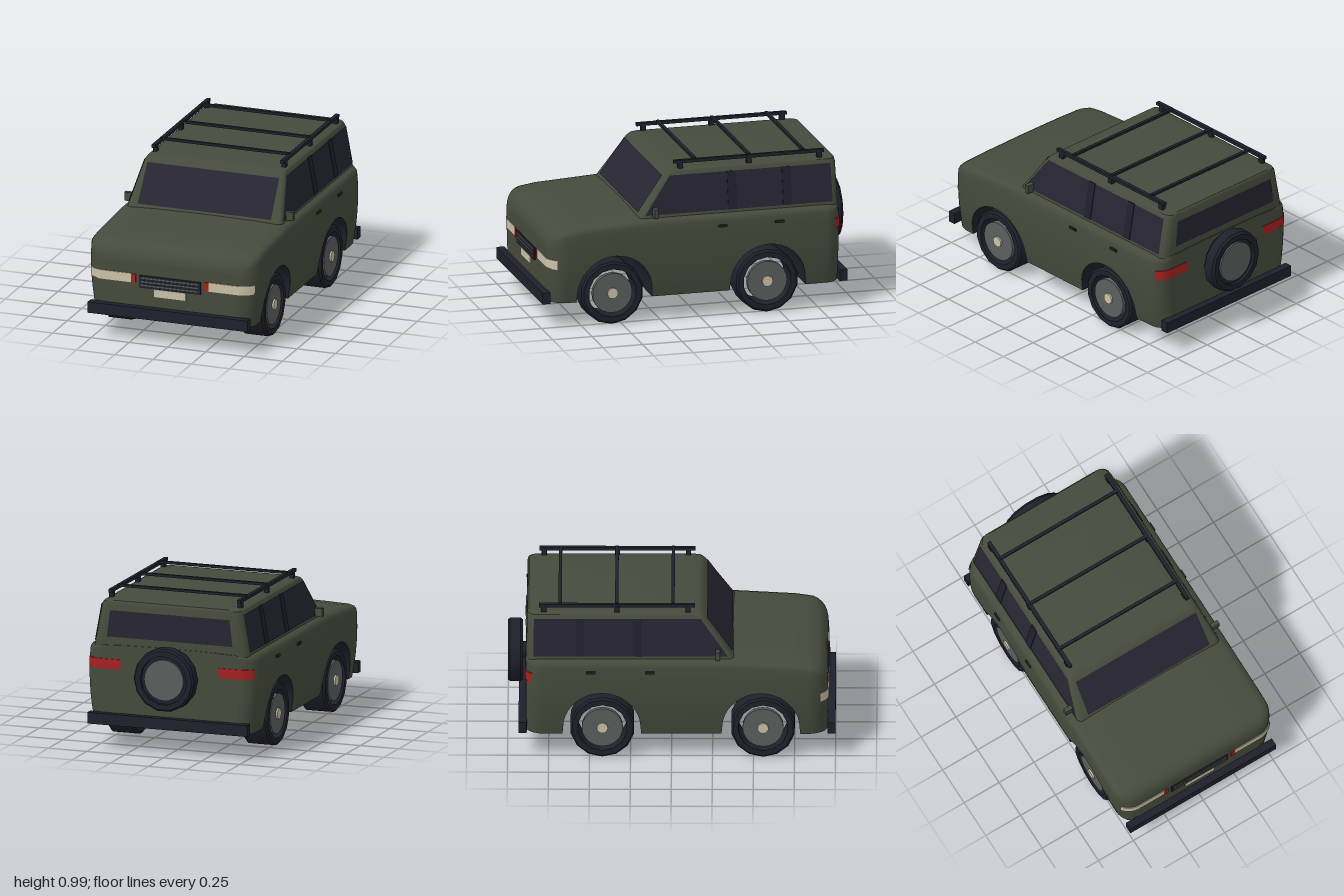
import * as THREE from 'three';
import { toCreasedNormals } from 'three/addons/utils/BufferGeometryUtils.js';

const mat = (name, color, side = THREE.FrontSide) => {
  const m = new THREE.MeshStandardMaterial({ color, side });
  m.name = name;
  return m;
};

export function createModel() {
  const paint = mat('olive paint', 0x454b3c);
  const trim = mat('dark trim', 0x20202c);
  const glass = mat('tinted glass', 0x262532, THREE.DoubleSide);
  const cream = mat('cream', 0xccc2a8);
  const red = mat('red lamp', 0xa82020);
  const grey = mat('wheel grey', 0x5a5f5e);

  const car = new THREE.Group();
  car.name = 'offRoadCar';
  const add = (name, geo, material, x = 0, y = 0, z = 0, parent = car) => {
    const m = new THREE.Mesh(geo, material);
    m.name = name;
    m.position.set(x, y, z);
    parent.add(m);
    return m;
  };
  const box = (name, material, w, h, d, x, y, z) =>
    add(name, new THREE.BoxGeometry(w, h, d), material, x, y, z);

  // Surface through rows of points; faces look along (row step) x (point step)
  const grid = (rows, crease = 0.6) => {
    const n = rows[0].length, idx = [];
    for (let i = 0; i < rows.length - 1; i++)
      for (let j = 0; j < n - 1; j++) {
        const a = i * n + j, c = a + n;
        idx.push(a, c, a + 1, a + 1, c, c + 1);
      }
    const g = new THREE.BufferGeometry();
    g.setAttribute('position', new THREE.Float32BufferAttribute(rows.flat(2), 3));
    g.setIndex(idx);
    return toCreasedNormals(g, crease);
  };

  // ---- Lower body: sections along z, with the bottom edge following the wheel arches
  const FRONT = 0.955, REAR = -0.89, RF = 0.12, RR = 0.1;
  const halfWidth = y => 0.555 - 0.33 * (y - 0.47) ** 2;
  const topLine = [[0.955, 0.5], [0.95, 0.535], [0.935, 0.565], [0.91, 0.59], [0.87, 0.61], [0.75, 0.628], [0.36, 0.65], [-1, 0.65]];
  const topY = z => {
    const k = Math.max(1, topLine.findIndex(p => p[0] <= z));
    const [a, b] = [topLine[k - 1], topLine[k]];
    return THREE.MathUtils.mapLinear(z, a[0], b[0], a[1], b[1]);
  };
  const round = (r, d) => (d >= r ? 0 : r - Math.sqrt(r * r - (r - d) ** 2));
  const inset = z => round(RF, FRONT - z) + round(RR, z - REAR);

  const stations = [];
  const SILL = 0.152;
  for (const d of [0, 0.003, 0.01, 0.022, 0.04, 0.065, 0.095, 0.12]) stations.push([FRONT - d, SILL]);
  for (const c of [0.545, -0.425]) {
    stations.push([c + 0.24, SILL]);
    for (let k = 0; k <= 18; k++) {
      const a = (k / 18) * Math.PI;
      stations.push([c + 0.236 * Math.cos(a), 0.2 + 0.235 * Math.sin(a)]);
    }
    stations.push([c - 0.24, SILL]);
  }
  for (const d of [0.1, 0.08, 0.055, 0.035, 0.018, 0.008, 0.002, 0]) stations.push([REAR + d, SILL]);

  const shell = [], under = [];
  for (const [z, yb] of stations) {
    const yt = topY(z), ys = yt - 0.045, ins = inset(z), half = [];
    for (let k = 0; k <= 8; k++) {
      const y = yb + (ys - yb) * k / 8;
      half.push([halfWidth(y) - ins, y, z]);
    }
    const w = halfWidth(ys) - ins;
    half.push([w - 0.004, yt - 0.028, z], [w - 0.016, yt - 0.014, z], [w - 0.05, yt - 0.004, z],
      [w * 0.6, yt + 0.002, z], [0.001, yt + 0.005, z]);
    const mirror = half.map(([x, y, q]) => [-x, y, q]).reverse();
    shell.push([...half, ...mirror]);
    under.push([[-half[0][0], yb, z], [half[0][0], yb, z]]);
  }
  add('bodyShell', grid(shell, 0.8), paint);
  add('underbody', grid(under), trim);
  const cap = (section, flip) => {
    const n = section.length;
    return grid(section.slice(0, n / 2).map((p, i) => flip ? [section[n - 1 - i], p] : [p, section[n - 1 - i]]));
  };
  add('nosePanel', cap(shell[0], false), paint);
  add('tailPanel', cap(shell[shell.length - 1], true), paint);

  // ---- Cabin: rounded rectangles stacked in y  [y, front z, rear z, half width]
  const ring = ([y, zf, zb, w]) => {
    const pts = [];
    const corners = [[1, 1, 0.03], [-1, 1, 0.03], [-1, -1, 0.055], [1, -1, 0.055]];
    corners.forEach(([sx, sz, r], q) => {
      for (let k = 0; k <= 5; k++) {
        const a = (q + k / 5) * Math.PI / 2;
        pts.push([sx * (w - r) + r * Math.cos(a), y, (sz > 0 ? zf - r : zb + r) + r * Math.sin(a)]);
      }
    });
    return [...pts, pts[0]];
  };
  const layers = [[0.62, 0.398, -0.886, 0.51], [0.66, 0.37, -0.886, 0.503], [0.895, 0.205, -0.882, 0.46],
    [0.915, 0.185, -0.878, 0.449], [0.924, 0.165, -0.87, 0.432], [0.928, 0.12, -0.84, 0.38]].map(ring);
  layers.push(layers[0].map(() => [0, 0.932, -0.36]));
  add('cabin', grid(layers, 0.5), paint);

  // ---- Windows and pillars as thin faces
  const face = (name, pts, material) => add(name, grid([[pts[0], pts[1]], [pts[3], pts[2]]]), material);
  const wz = y => 0.37 - (y - 0.66) * 0.702 + 0.004;
  face('windscreen', [[-0.435, 0.668, wz(0.664)], [-0.43, 0.888, wz(0.884)], [0.43, 0.888, wz(0.884)], [0.435, 0.668, wz(0.664)]], glass);
  face('rearWindow', [[-0.41, 0.7, -0.891], [0.41, 0.7, -0.891], [0.39, 0.865, -0.889], [-0.39, 0.865, -0.889]], glass);
  const sideX = y => 0.503 - (y - 0.66) * 0.183;
  for (const s of [1, -1]) {
    const side = (name, z0, z1, z2, z3, off, m) => {
      const lo = 0.661, hi = 0.893;
      face(name, [[s * (sideX(lo) + off), lo, z0], [s * (sideX(lo) + off), lo, z1],
        [s * (sideX(hi) + off), hi, z2], [s * (sideX(hi) + off), hi, z3]], m);
    };
    side('sideWindow', 0.345, -0.842, -0.84, 0.178, 0.004, glass);
    for (const z of [-0.21, -0.557]) {
      const p = box('windowPillar', trim, 0.008, 0.236, 0.055, s * (sideX(0.777) + 0.004), 0.777, z);
      p.rotation.z = s * Math.atan(0.183);
    }
    box('mirror', paint, 0.065, 0.054, 0.028, s * 0.518, 0.678, 0.283);
    for (const z of [-0.133, -0.493]) box('doorHandle', trim, 0.016, 0.015, 0.056, s * 0.553, 0.574, z);
  }

  // ---- Lamps wrapping round the body corners
  const wrapLamp = (name, material, s, end, x0, y0, y1, r, arc) => {
    const cx = halfWidth((y0 + y1) / 2) - r, dir = Math.sign(end), cz = end - dir * r, rows = [];
    const outline = [[x0, end + dir * 0.005]];
    for (let k = 0; k <= 8; k++) {
      const a = arc * k / 8;
      outline.push([cx + (r + 0.005) * Math.sin(a), cz + dir * (r + 0.005) * Math.cos(a)]);
    }
    for (const y of [y0, y1]) rows.push(outline.map(([x, z]) => [s * x, y, z]));
    if (s * dir > 0) rows.reverse();
    // closing strips back to the body along the top and bottom edges
    const back = row => row.map(([x, y, z]) => [x - s * 0.003, y, z - dir * 0.007]);
    add(name, grid([back(rows[0]), rows[0], rows[1], back(rows[1])]), material);
  };
  for (const s of [1, -1]) {
    wrapLamp('headlight', cream, s, FRONT, 0.253, 0.37, 0.427, RF, 0.95);
    wrapLamp('tailLight', red, s, REAR, 0.32, 0.5, 0.56, RR, 0.95);
    box('indicator', red, 0.027, 0.057, 0.01, s * 0.238, 0.398, FRONT + 0.002);
  }

  // ---- Grille, number plate, bumpers
  box('grille', trim, 0.404, 0.08, 0.012, 0, 0.383, FRONT + 0.002);
  for (const y of [0.408, 0.385, 0.362]) box('grilleSlat', grey, 0.376, 0.008, 0.006, 0, y, FRONT + 0.009);
  box('numberPlate', cream, 0.206, 0.048, 0.01, 0, 0.318, FRONT + 0.003);
  box('frontBumper', trim, 1.044, 0.07, 0.05, 0, 0.19, 0.975);
  box('rearBumper', trim, 1.044, 0.07, 0.05, 0, 0.19, -0.908);

  // ---- Wheels: hollow tyre ring, rim disc and hub, axis along local y
  const tyre = width => {
    const h = width / 2;
    const profile = [[0.152, -h], [0.186, -h], [0.198, -h + 0.014], [0.198, h - 0.014], [0.186, h], [0.152, h], [0.152, -h]];
    const g = new THREE.LatheGeometry(profile.map(p => new THREE.Vector2(...p)), 14, Math.PI / 14);
    return toCreasedNormals(g, 0.6);
  };
  const disc = (r, h, n = 24) => new THREE.CylinderGeometry(r, r, h, n);
  for (const s of [1, -1])
    for (const z of [0.558, -0.422]) {
      const wheel = new THREE.Group();
      wheel.name = 'wheel';
      wheel.position.set(s * 0.443, 0.194, z);
      wheel.rotation.z = -s * Math.PI / 2;
      add('tyre', tyre(0.175), trim, 0, 0, 0, wheel);
      add('rim', disc(0.125, 0.03), grey, 0, 0.068, 0, wheel);
      add('hub', disc(0.034, 0.02, 12), cream, 0, 0.084, 0, wheel);
      car.add(wheel);
    }

  // ---- Spare wheel on the tail
  const spare = new THREE.Group();
  spare.name = 'spareWheel';
  spare.position.set(0, 0.478, -0.954);
  spare.rotation.x = -Math.PI / 2;
  add('spareTyre', tyre(0.092), trim, 0, 0, 0, spare);
  add('spareBacking', disc(0.153, 0.05), trim, 0, 0, 0, spare);
  add('spareRim', disc(0.128, 0.02), grey, 0, 0.028, 0, spare);
  add('spareMount', disc(0.05, 0.08, 12), trim, 0, -0.04, 0, spare);
  car.add(spare);

  // ---- Roof rack
  for (const s of [1, -1]) {
    box('rackRail', trim, 0.024, 0.02, 0.95, s * 0.42, 0.966, -0.333);
    for (const z of [0.1, -0.333, -0.78]) box('rackFoot', trim, 0.026, 0.05, 0.032, s * 0.42, 0.936, z);
  }
  for (const z of [0.008, -0.335, -0.68]) box('rackBar', trim, 0.84, 0.016, 0.02, 0, 0.976, z);

  return car;
}
